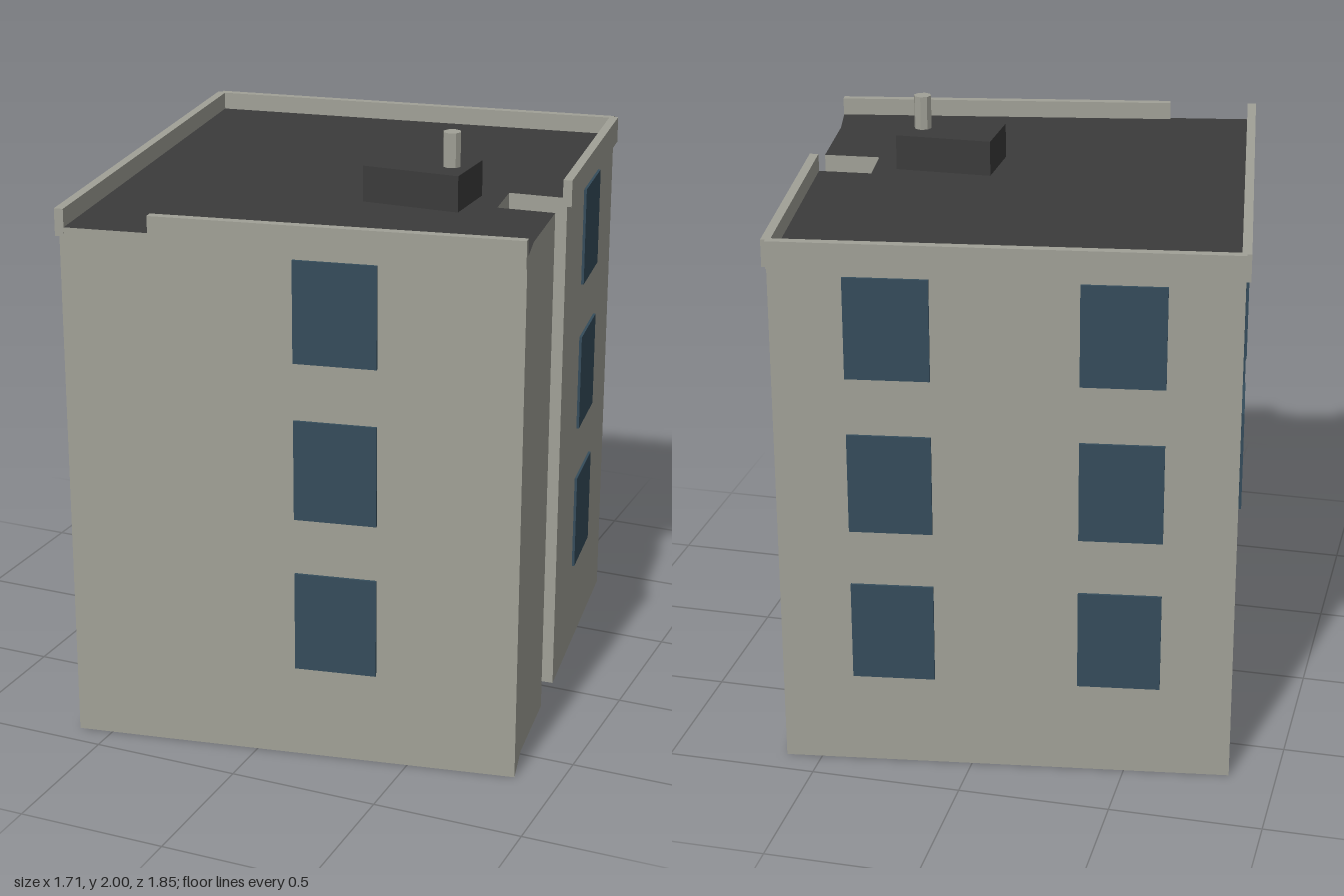
import * as THREE from 'three';

const paint = (name, color) => {
  const m = new THREE.MeshStandardMaterial({ color });
  m.name = name;
  return m;
};

export function createModel() {
  const group = new THREE.Group();
  const wall = paint('stone grey', 0xa1a197);
  const roof = paint('roof charcoal', 0x3b3b3b);
  const glass = paint('window blue', 0x354c5b);

  const roofY = 1.765;
  const add = (name, geometry, material, x, y, z, angle = 0) => {
    const mesh = new THREE.Mesh(geometry, material);
    mesh.name = name;
    mesh.position.set(x, y, z);
    mesh.rotation.y = angle;
    group.add(mesh);
  };

  // Footprint corners [x, z], running from the back left along the left, front, right and back
  const plan = [
    [-0.845, -0.705], [-0.613, 0.921], [-0.323, 0.87], [0.852, 0.656], [0.81, 0.48],
    [0.765, 0.15], [0.573, 0.165], [0.547, -0.017], [0.744, -0.032], [0.618, -0.912],
  ];

  // Walls with roof and underside
  const shape = new THREE.Shape(plan.map(([x, z]) => new THREE.Vector2(x, -z)));
  const block = new THREE.ExtrudeGeometry(shape, { depth: roofY, bevelEnabled: false });
  block.rotateX(-Math.PI / 2);
  add('building', block, [roof, wall], 0, 0, 0);

  // Facades: starting corner, window centres along the wall, floors with windows
  const floors = [0.485, 1.013, 1.543];
  const facades = [
    { name: 'left', from: 0, columns: [0.25, 0.75], rows: floors.slice(1) },
    { name: 'front', from: 2, columns: [0.5], rows: floors },
    { name: 'right', from: 8, columns: [0.5], rows: floors },
    { name: 'back', from: 9, columns: [0.25, 0.75], rows: floors },
  ];
  for (const { name, from, columns, rows } of facades) {
    const [ax, az] = plan[from];
    const [bx, bz] = plan[(from + 1) % plan.length];
    const length = Math.hypot(bx - ax, bz - az);
    const angle = Math.atan2(az - bz, bx - ax);
    const nx = Math.sin(angle), nz = Math.cos(angle);

    // Parapet straddling the wall line
    add(name + 'Parapet', new THREE.BoxGeometry(length, 0.09, 0.03), wall,
      (ax + bx) / 2, 1.78, (az + bz) / 2, angle);

    // Thin window panes
    for (const t of columns) for (const y of rows) {
      add(name + 'Window', new THREE.BoxGeometry(0.27, 0.338, 0.009), glass,
        ax + (bx - ax) * t + nx * 0.0055, y, az + (bz - az) * t + nz * 0.0055, angle);
    }
  }

  // Rooftop unit and vent pipe
  add('rooftopUnit', new THREE.BoxGeometry(0.33, 0.12, 0.22), roof, 0.312, roofY + 0.06, 0.16);
  const pipe = new THREE.CylinderGeometry(0.03, 0.03, 0.235, 8).toNonIndexed();
  pipe.computeVertexNormals();
  add('ventPipe', pipe, wall, 0.412, 2 - 0.1175, 0.16);

  return group;
}
